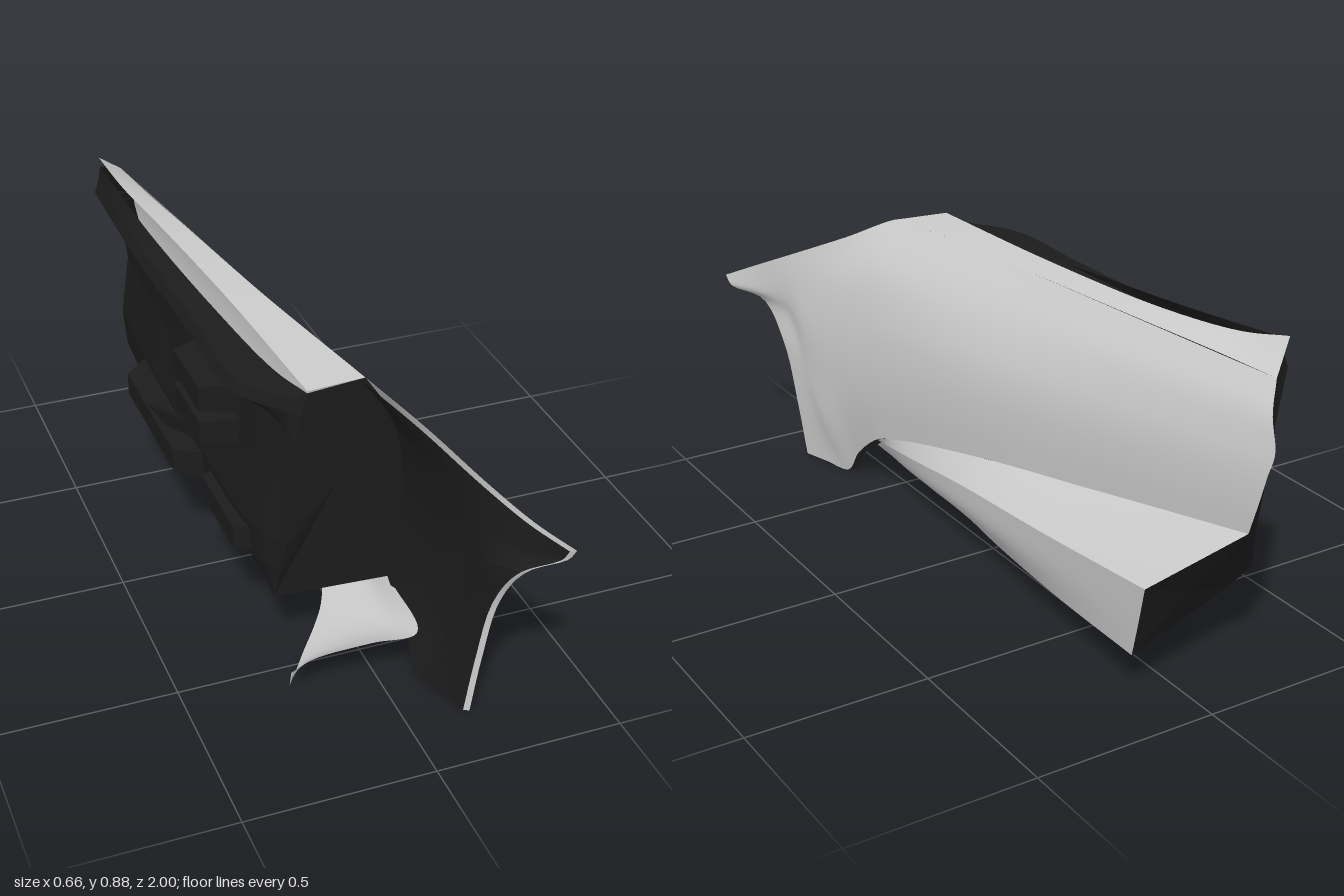
import * as THREE from 'three';

const paint = new THREE.MeshStandardMaterial({ color: 0xcccccc, side: THREE.DoubleSide });
const trim = new THREE.MeshStandardMaterial({ color: 0x1c1c1c, side: THREE.DoubleSide, flatShading: true });

// n + 1 samples of a row of points, curved or straight between them
function sample(pts, n, smooth) {
  if (smooth && pts.length > 2) return new THREE.CatmullRomCurve3(pts).getPoints(n);
  const out = [];
  for (let i = 0; i <= n; i++) {
    const t = (i / n) * (pts.length - 1), k = Math.min(Math.floor(t), pts.length - 2);
    out.push(pts[k].clone().lerp(pts[k + 1], t - k));
  }
  return out;
}

// Skin over columns of [x, y, z] points: nu steps along, nv steps across
function loft(cols, nu, nv, smoothU = true, smoothV = true) {
  const down = cols.map(c => sample(c.map(p => new THREE.Vector3(...p)), nv, smoothV));
  const pos = [], idx = [];
  for (let j = 0; j <= nv; j++)
    for (const p of sample(down.map(c => c[j]), nu, smoothU)) pos.push(p.x, p.y, p.z);
  for (let j = 0; j < nv; j++)
    for (let i = 0; i < nu; i++) {
      const a = j * (nu + 1) + i, b = a + nu + 1;
      idx.push(a, b, a + 1, a + 1, b, b + 1);
    }
  const g = new THREE.BufferGeometry();
  g.setAttribute('position', new THREE.Float32BufferAttribute(pos, 3));
  g.setIndex(idx);
  g.computeVertexNormals();
  return g;
}

// Flat fan over a closed outline
function fan(pts) {
  const g = new THREE.BufferGeometry(), pos = [];
  const c = [0, 1, 2].map(k => pts.reduce((s, p) => s + p[k], 0) / pts.length);
  pts.forEach((p, i) => pos.push(...c, ...p, ...pts[(i + 1) % pts.length]));
  g.setAttribute('position', new THREE.Float32BufferAttribute(pos, 3));
  g.computeVertexNormals();
  return g;
}

// Block whose inboard (-x) face is shrunk
function pad(w, h, d, taper) {
  const g = new THREE.BoxGeometry(w, h, d), p = g.attributes.position;
  for (let i = 0; i < p.count; i++)
    if (p.getX(i) < 0) p.setXYZ(i, p.getX(i), p.getY(i) * taper, p.getZ(i) * taper);
  return g;
}

export function createModel() {
  const door = new THREE.Group();
  door.name = 'door';
  const add = (name, geometry, material) => {
    const m = new THREE.Mesh(geometry, material);
    m.name = name;
    door.add(m);
    return m;
  };

  // Outer skin: columns from rear to front, each from shoulder to lower edge
  const body = [
    [[-0.2, 0.8, -0.925], [-0.16, 0.73, -0.965], [-0.145, 0.65, -1], [-0.135, 0.59, -0.99], [-0.13, 0.51, -0.97], [-0.13, 0.42, -0.94]],
    [[-0.08, 0.815, 0], [0, 0.7, 0], [0.045, 0.59, 0], [0.06, 0.5, 0], [0.06, 0.4, 0], [0.05, 0.29, 0]],
    [[0, 0.825, 0.5], [0.09, 0.69, 0.49], [0.125, 0.56, 0.48], [0.135, 0.44, 0.47], [0.13, 0.32, 0.46], [0.11, 0.185, 0.45]],
  ];
  const wing = [
    body[2],
    [[0.1, 0.745, 0.65], [0.14, 0.62, 0.64], [0.158, 0.49, 0.63], [0.16, 0.36, 0.62], [0.145, 0.22, 0.61], [0.11, 0.085, 0.59]],
    [[0.19, 0.665, 0.81], [0.19, 0.57, 0.79], [0.19, 0.45, 0.77], [0.18, 0.31, 0.75], [0.16, 0.15, 0.7], [0.112, 0, 0.66]],
    [[0.26, 0.61, 0.92], [0.235, 0.54, 0.89], [0.2, 0.47, 0.85], [0.19, 0.34, 0.81], [0.17, 0.17, 0.77], [0.14, 0, 0.75]],
    [[0.33, 0.567, 1], [0.318, 0.535, 0.985], [0.238, 0.49, 0.94], [0.207, 0.36, 0.87], [0.185, 0.17, 0.84], [0.165, 0, 0.83]],
  ];
  // Extra columns part way between two others keep the long panel taut
  const between = (a, b, t) => a.map((p, i) => p.map((v, k) => v + (b[i][k] - v) * t));
  const [rear, middle, front] = body;
  const skin = [rear, between(rear, middle, 0.48), middle, between(middle, front, 0.84), ...wing];
  add('outerSkin', loft(skin, 64, 24), paint);

  // Dark lining inside the front wing, and the folded front edge
  const lining = wing.map(c => c.map(([x, y, z]) => [x - 0.014, Math.max(y - 0.004, 0), z - 0.008]));
  add('wingLining', loft(lining, 24, 20), trim);
  add('frontFold', loft([wing[4], lining[4]], 1, 24, false), paint);

  // Window ledge from the beltline to the shoulder crease
  const belt = [[-0.28, 0.87, -0.87], [-0.255, 0.838, -0.72], [-0.215, 0.82, -0.45], [-0.175, 0.816, 0], [-0.15, 0.818, 0.5]];
  const shoulder = [rear[0], [-0.178, 0.803, -0.72], [-0.145, 0.807, -0.48], middle[0], front[0]];
  add('windowLedge', loft(belt.map((p, i) => [p, shoulder[i]]), 32, 2, true, false), paint);

  // Side shelf from the skin to a crease
  const crease = [[0.14, 0.33, -0.9], [0.128, 0.275, -0.45], [0.112, 0.225, 0], [0.105, 0.185, 0.3], [0.1, 0.167, 0.48]];
  const root = [rear[5], [-0.04, 0.355, -0.45], middle[5], [0.092, 0.228, 0.3], front[5]];
  add('sideShelf', loft(root.map((p, i) => [p, crease[i]]), 32, 2, true, false), paint);

  // Scoop below the crease, sweeping inboard to an arched mouth at the front
  const sill = [
    [crease[0], [0.13, 0.215, -0.865], [0.12, 0.11, -0.83]],
    [crease[1], [0.118, 0.175, -0.45], [0.095, 0.09, -0.45]],
    [crease[2], [0.1, 0.145, 0], [0.05, 0.073, -0.02]],
    [crease[3], [0.08, 0.118, 0.28], [0, 0.061, 0.22]],
    [crease[4], [0.06, 0.105, 0.43], [-0.05, 0.055, 0.35]],
    [[0.085, 0.15, 0.67], [0.03, 0.1, 0.55], [-0.1, 0.05, 0.43]],
    [[-0.03, 0.135, 0.65], [-0.07, 0.092, 0.58], [-0.16, 0.043, 0.51]],
    [[-0.18, 0.11, 0.63], [-0.195, 0.075, 0.6], [-0.21, 0.038, 0.58]],
    [[-0.235, 0.075, 0.62], [-0.238, 0.055, 0.62], [-0.24, 0.035, 0.62]],
  ];
  add('sillScoop', loft(sill, 64, 8), paint);

  // Inner panel: sections from beltline to lower edge, rear to front
  const panel = [[-0.84, -0.02, 0.03, 0.03], [-0.45, -0.02, 0, 0.01], [0, -0.01, 0, 0], [0.35, 0, 0, 0]].map(([z, dx, dy, low], i) => [
    [belt[i][0] - 0.005, belt[i][1] - 0.015, z], [-0.27 + dx, 0.79 + dy, z], [-0.285 + dx, 0.76 + dy / 2, z],
    [-0.215 + dx, 0.72, z], [-0.225 + dx + low, 0.55, z], [-0.25 + dx + low, 0.37, z],
    [-0.24 + dx + low, 0.26, z], [-0.21, 0.19, z + (i === 0 ? 0.05 : 0)],
  ]);
  panel.push([[-0.15, 0.812, 0.5], [-0.155, 0.79, 0.5], [-0.165, 0.75, 0.5], [-0.18, 0.68, 0.5],
    [-0.18, 0.55, 0.5], [-0.2, 0.37, 0.49], [-0.21, 0.27, 0.47], [-0.22, 0.19, 0.45]]);
  add('innerPanel', loft(panel, 32, 7, true, false), trim);

  // Front face, rear faces and floor closing the shell
  add('frontFace', fan([...panel[4], [0.1, 0.2, 0.48], ...front.slice(0, 5).reverse()]), trim);
  add('rearJamb', loft([panel[0], rear], 1, 14, false, false), trim);
  add('rearFace', fan([root[0], crease[0], sill[0][2], panel[0][7]]), trim);
  const floorEdge = [[0.12, 0.115, -0.83], [0.095, 0.125, -0.45], [0.06, 0.135, 0], [0, 0.145, 0.3], [0.1, 0.19, 0.47]];
  add('floor', loft(panel.map((c, i) => [c[7], floorEdge[i]]), 24, 2, false, false), trim);

  // Two grab blocks
  for (const [y, h] of [[0.665, 0.09], [0.565, 0.085]])
    add('grabBlock', pad(0.12, h, 0.28, 0.75), trim).position.set(-0.27, y, 0.1);

  // Armrest, pull strut and lower pocket
  add('armrest', pad(0.1, 0.09, 0.6, 0.72), trim).position.set(-0.275, 0.32, -0.28);
  const from = new THREE.Vector3(-0.265, 0.46, 0.06), to = new THREE.Vector3(-0.312, 0.33, -0.32);
  const strut = add('pullStrut', new THREE.BoxGeometry(0.02, 0.04, from.distanceTo(to)), trim);
  strut.position.copy(from).lerp(to, 0.5);
  strut.lookAt(to);
  add('doorPocket', pad(0.1, 0.09, 0.36, 0.7), trim).position.set(-0.235, 0.31, 0.2);
  return door;
}
